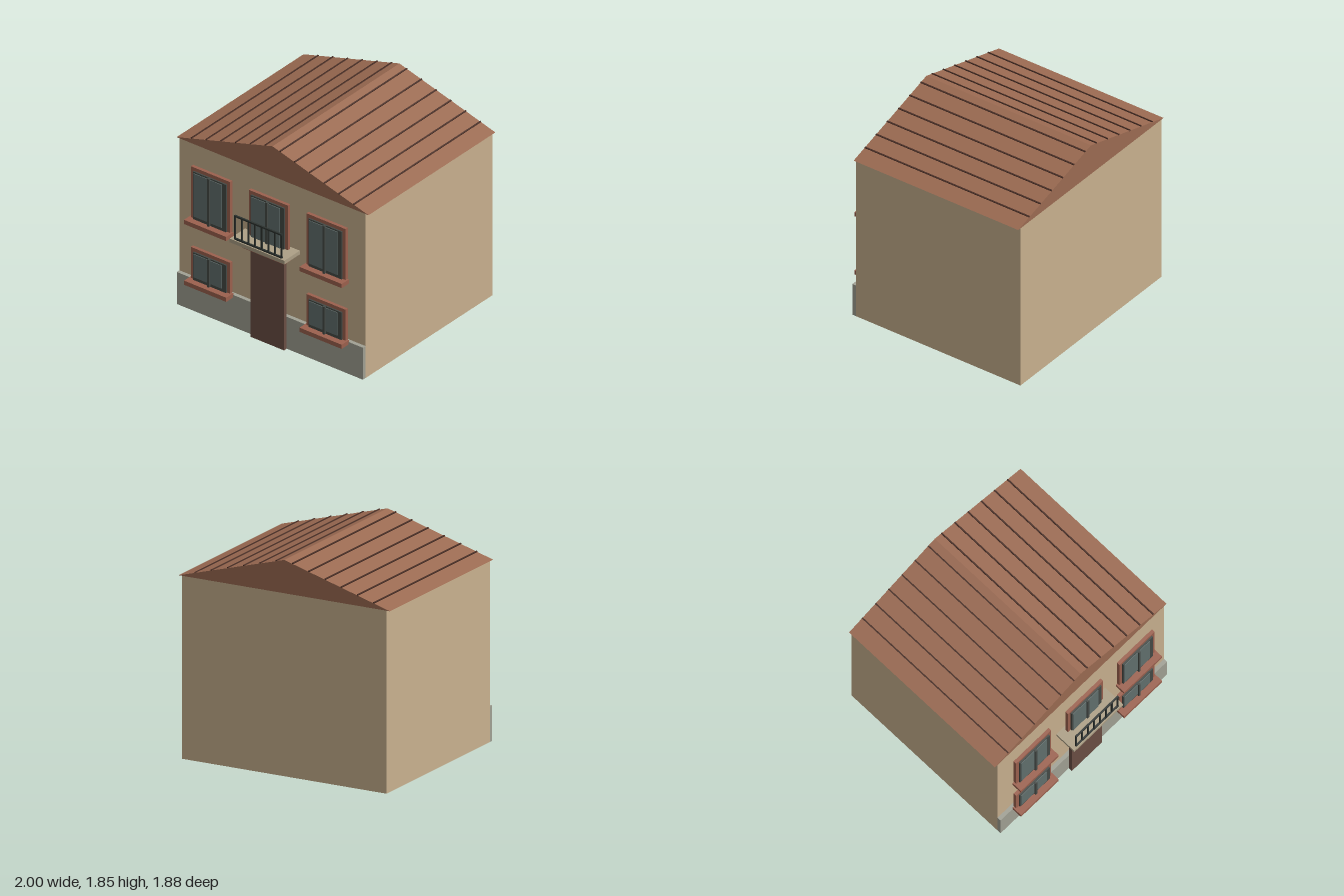
import * as THREE from 'three';

const mat = (color) => new THREE.MeshStandardMaterial({ color });

export function createModel() {
  const model = new THREE.Group();
  model.name = 'townHouse';

  const wall = mat(0xc9b18f), tile = mat(0x9c6b52), seam = mat(0x4a2f26), stone = mat(0xa1a194);
  const brick = mat(0x9c614e), wood = mat(0x6b4f44), iron = mat(0x2c322f);
  const sash = mat(0x454a46), glass = mat(0x62706e), slab = mat(0xada086);

  // Box given by its extents on each axis
  function box(parent, name, material, [x0, x1], [y0, y1], [z0, z1]) {
    const mesh = new THREE.Mesh(new THREE.BoxGeometry(x1 - x0, y1 - y0, z1 - z0), material);
    mesh.position.set((x0 + x1) / 2, (y0 + y1) / 2, (z0 + z1) / 2);
    mesh.name = name;
    parent.add(mesh);
    return mesh;
  }

  const back = -0.94, front = 0.735, eaves = 1.565, ridge = 1.85;

  // Walls, stone base and door
  box(model, 'walls', wall, [-0.97, 0.97], [0, eaves], [back, front]);
  box(model, 'stoneBase', stone, [-0.97, 0.97], [0, 0.305], [front, 0.77]);
  box(model, 'door', wood, [-0.175, 0.175], [0, 0.9], [0.77, 0.805]);

  // Gable roof
  const gable = new THREE.Shape([
    new THREE.Vector2(-1, eaves), new THREE.Vector2(1, eaves), new THREE.Vector2(0, ridge),
  ]);
  const roof = new THREE.Mesh(
    new THREE.ExtrudeGeometry(gable, { depth: front - back, bevelEnabled: false }), tile);
  roof.position.z = back;
  roof.name = 'roof';
  model.add(roof);

  // Raised seams running along both slopes
  const slope = Math.atan2(ridge - eaves, 1);
  const seams = new THREE.Group();
  seams.name = 'roofSeams';
  model.add(seams);
  for (const side of [-1, 1]) {
    for (let i = 0; i < 6; i++) {
      const x = side * (0.077 + i * 0.1537);
      const y = ridge - Math.abs(x) * (ridge - eaves);
      const strip = box(seams, 'roofSeam', seam, [x - 0.006, x + 0.006], [y - 0.006, y + 0.008], [back, front]);
      strip.rotation.z = -side * slope;
    }
  }

  // Window: surround, projecting sill, sash, two panes and a mullion
  function addWindow(name, x, bottom, top) {
    const g = new THREE.Group();
    g.name = name;
    g.position.x = x;
    box(g, 'surround', brick, [-0.204, 0.204], [bottom, top], [0.76, 0.79]);
    box(g, 'sill', brick, [-0.22, 0.22], [bottom - 0.04, bottom], [0.765, 0.86]);
    box(g, 'sash', sash, [-0.173, 0.173], [bottom, top - 0.032], [0.785, 0.804]);
    for (const span of [[-0.163, -0.009], [0.009, 0.132]]) {
      box(g, 'pane', glass, span, [bottom + 0.03, top - 0.045], [0.795, 0.81]);
    }
    box(g, 'mullion', sash, [-0.01, 0.01], [bottom, top - 0.032], [0.795, 0.823]);
    model.add(g);
  }
  for (const [side, x] of [['right', -0.604], ['left', 0.6]]) {
    addWindow(side + 'UpperWindow', x, 0.9, 1.385);
    addWindow(side + 'LowerWindow', x, 0.32, 0.615);
  }
  addWindow('balconyWindow', 0, 0.9, 1.385);

  // Balcony with iron railing
  const balcony = new THREE.Group();
  balcony.name = 'balcony';
  model.add(balcony);
  box(balcony, 'balconySlab', slab, [-0.285, 0.285], [0.925, 0.96], [front, 0.94]);
  for (const y of [0.967, 1.183]) {
    box(balcony, 'rail', iron, [-0.248, 0.248], [y - 0.007, y + 0.007], [0.913, 0.929]);
  }
  for (let i = 0; i < 8; i++) {
    const x = -0.242 + i * 0.484 / 7;
    box(balcony, 'baluster', iron, [x - 0.006, x + 0.006], [0.96, 1.183], [0.915, 0.927]);
  }

  return model;
}
